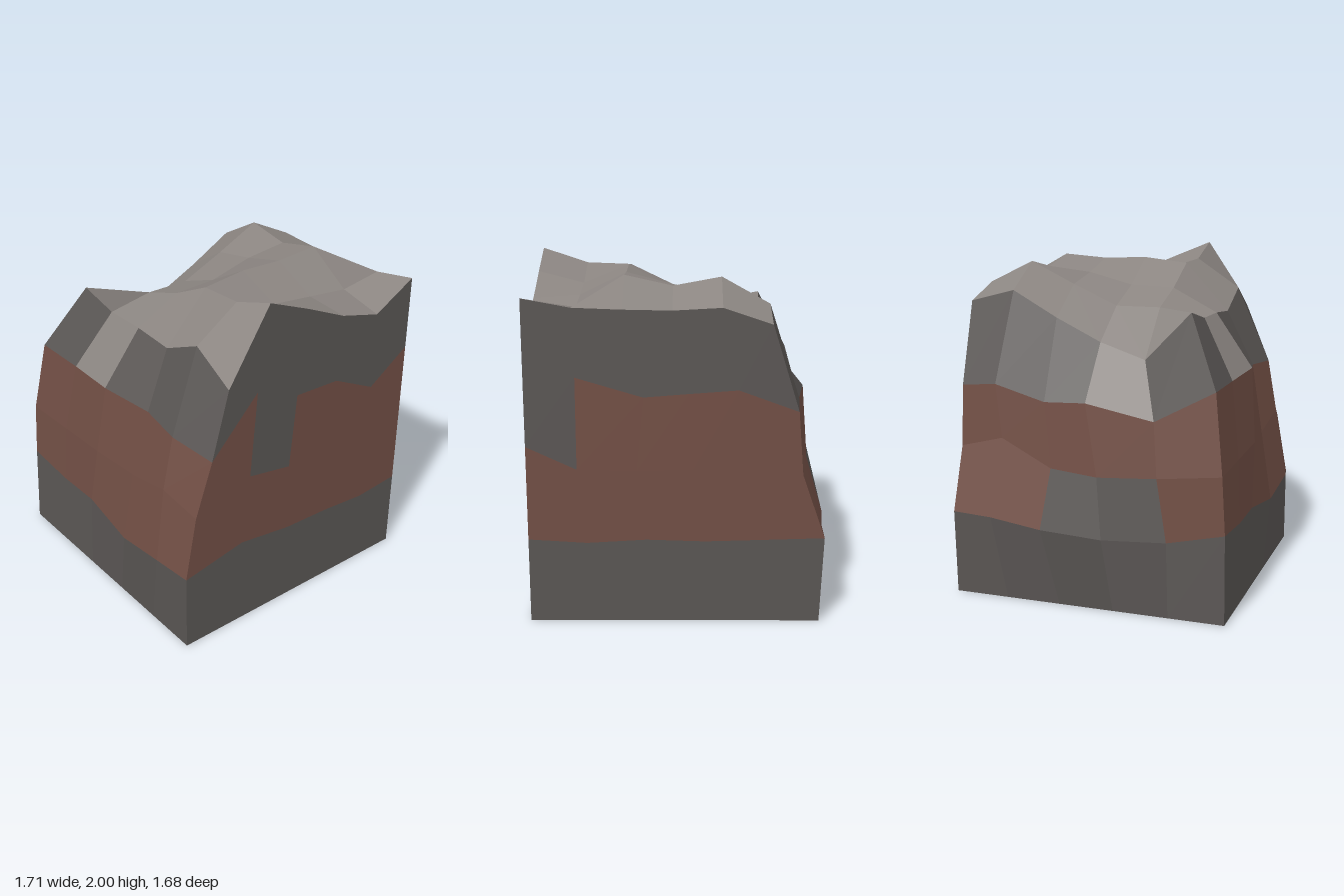
import * as THREE from 'three';

const paint = (name, color) => {
  const m = new THREE.MeshStandardMaterial({ color, side: THREE.DoubleSide });
  m.name = name;
  return m;
};

export function createModel() {
  const mats = {
    L: paint('lightStone', 0x8b8581),
    D: paint('darkStone', 0x5a5654),
    B: paint('brownEarth', 0x724f45),
  };
  const group = new THREE.Group();
  group.name = 'cliffCorner';

  // A sheet of quads: rows run bottom to top, points left to right seen from outside.
  // Each quad has one normal; colours holds one letter per quad, one string per row.
  function sheet(name, rows, colours) {
    const part = new THREE.Group();
    part.name = name;
    const data = {};
    const v = (p) => new THREE.Vector3(...p);
    colours.forEach((line, i) => [...line].forEach((key, j) => {
      const a = rows[i][j], b = rows[i][j + 1], c = rows[i + 1][j + 1], d = rows[i + 1][j];
      const n = v(c).sub(v(a)).cross(v(d).sub(v(b))).normalize();
      const out = (data[key] ??= { pos: [], nor: [] });
      for (const p of [a, b, c, a, c, d]) {
        out.pos.push(...p);
        out.nor.push(n.x, n.y, n.z);
      }
    }));
    for (const key in data) {
      const g = new THREE.BufferGeometry();
      g.setAttribute('position', new THREE.Float32BufferAttribute(data[key].pos, 3));
      g.setAttribute('normal', new THREE.Float32BufferAttribute(data[key].nor, 3));
      const mesh = new THREE.Mesh(g, mats[key]);
      mesh.name = name + '_' + mats[key].name;
      part.add(mesh);
    }
    group.add(part);
  }

  // Plateau heights, from the front row to the back row
  const heights = [
    [1.69, 1.63, 1.63, 1.61, 1.73, 1.58],
    [1.41, 1.68, 1.77, 1.90, 1.91, 2.00],
    [1.50, 1.68, 1.78, 1.93, 1.82, 1.89],
    [1.63, 1.80, 1.85, 1.92, 1.79, 1.77],
    [1.78, 1.93, 1.88, 1.94, 1.76, 1.70],
    [1.71, 1.80, 1.785, 1.79, 1.80, 1.85],
  ];
  const top = heights.map((row, k) => row.map((y, i) => [-0.5 + 0.27 * i, y, 0.51 - 0.27 * k]));
  sheet('plateau', top, Array(5).fill('LLLLL'));

  // Evenly spaced foot of a wall
  const foot = (a, b) => Array.from({ length: 6 }, (_, i) =>
    [a[0] + (b[0] - a[0]) * i / 5, 0, a[1] + (b[1] - a[1]) * i / 5]);
  const frontLeft = [0.85, 0.8], frontRight = [-0.79, 0.8];
  const backLeft = [0.85, -0.84], backRight = [-0.79, -0.84];

  // Front cliff, bulging forward
  const front = [
    foot(frontRight, frontLeft),
    [[-0.77, 0.51, 0.79], [-0.42, 0.48, 0.79], [-0.12, 0.485, 0.79], [0.27, 0.435, 0.82], [0.63, 0.5, 0.84], [0.85, 0.475, 0.8]],
    [[-0.77, 0.84, 0.77], [-0.4, 0.85, 0.77], [-0.04, 0.87, 0.78], [0.28, 0.86, 0.75], [0.61, 0.94, 0.77], [0.85, 0.86, 0.73]],
    [[-0.7, 1.29, 0.71], [-0.34, 1.29, 0.71], [0.02, 1.31, 0.74], [0.34, 1.275, 0.67], [0.62, 1.26, 0.71], [0.85, 1.18, 0.62]],
    top[0],
  ];
  sheet('frontCliff', front, ['DDDDD', 'BBBBB', 'BBBBB', 'DLDDD']);

  // Side cliff on the -x side, from back to front
  const side = [
    foot(backRight, frontRight),
    [[-0.81, 0.5, -0.84], [-0.82, 0.49, -0.6], [-0.86, 0.46, -0.27], [-0.86, 0.44, 0.1], [-0.79, 0.44, 0.46], front[1][0]],
    [[-0.68, 0.87, -0.84], [-0.7, 0.94, -0.57], [-0.76, 0.8, -0.24], [-0.79, 0.78, 0.05], [-0.78, 0.8, 0.4], front[2][0]],
    [[-0.65, 1.23, -0.84], [-0.67, 1.25, -0.62], [-0.7, 1.17, -0.3], [-0.75, 1.19, -0.03], [-0.74, 1.11, 0.37], front[3][0]],
    top.map((r) => r[0]).reverse(),
  ];
  sheet('rightCliff', side, ['DDDDD', 'BBDDB', 'BBBBB', 'DDDLD']);

  // Flat cut face on the +x side, from front to back
  const onX = (pts) => pts.map(([z, y]) => [0.85, y, z]);
  const cutX = [
    foot(frontLeft, backLeft),
    onX([[0.8, 0.475], [0.4, 0.55], [0.05, 0.5], [-0.25, 0.49], [-0.55, 0.465], [-0.84, 0.49]]),
    onX([[0.73, 0.86], [0.35, 0.98], [0.06, 0.93], [-0.26, 0.92], [-0.56, 0.87], [-0.84, 1.03]]),
    onX([[0.62, 1.18], [0.31, 1.5], [0.02, 1.38], [-0.28, 1.37], [-0.57, 1.23], [-0.84, 1.41]]),
    top.map((r) => r[5]),
  ];
  sheet('leftCutFace', cutX, ['DDDDD', 'BBBBB', 'BDBBB', 'DDDDD']);

  // Flat cut face at the back, from +x to -x
  const onZ = (pts) => pts.map(([x, y]) => [x, y, -0.84]);
  const cutZ = [
    foot(backLeft, backRight),
    onZ([[0.85, 0.49], [0.52, 0.47], [0.19, 0.49], [-0.14, 0.48], [-0.48, 0.49], [-0.81, 0.5]]),
    onZ([[0.85, 1.03], [0.57, 0.9], [0.24, 0.89], [-0.07, 0.9], [-0.38, 0.88], [-0.68, 0.87]]),
    onZ([[0.85, 1.41], [0.57, 1.42], [0.2, 1.31], [-0.05, 1.33], [-0.32, 1.35], [-0.65, 1.23]]),
    [...top[5]].reverse(),
  ];
  sheet('backCutFace', cutZ, ['DDDDD', 'BBBBB', 'DBBBB', 'DDDDD']);

  return group;
}
